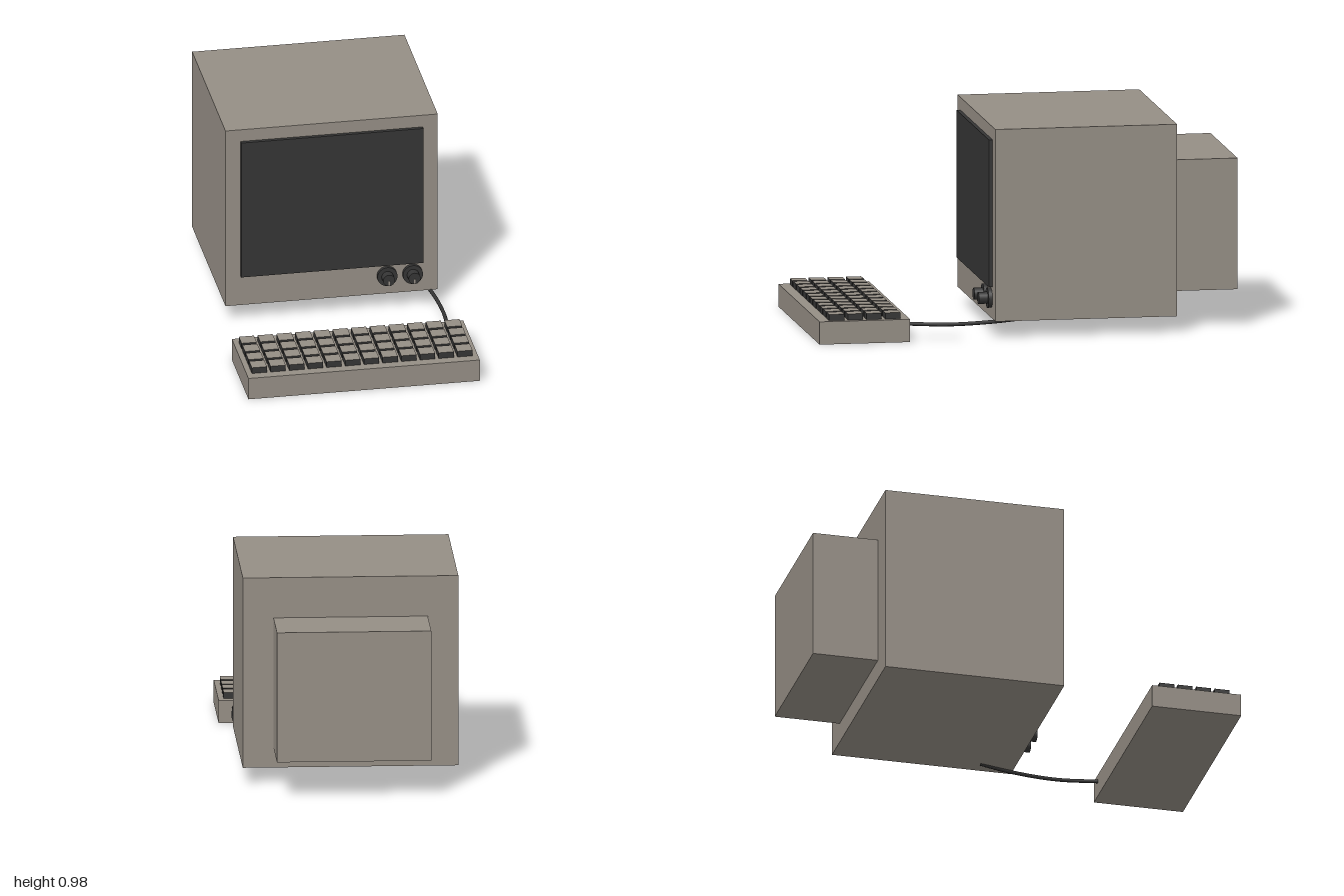
import * as THREE from 'three';

export function createModel() {
  const model = new THREE.Group();
  model.name = 'computerTerminal';

  const casing = new THREE.MeshStandardMaterial({ color: 0x958e85 });
  casing.name = 'warm grey casing';
  const dark = new THREE.MeshStandardMaterial({ color: 0x353535 });
  dark.name = 'dark grey';

  const add = (name, geometry, material, x, y, z, parent = model) => {
    const mesh = new THREE.Mesh(geometry, material);
    mesh.name = name;
    mesh.position.set(x, y, z);
    parent.add(mesh);
    return mesh;
  };
  // Box given by its lower and upper limits on each axis
  const box = (name, material, [x0, x1], [y0, y1], [z0, z1]) =>
    add(name, new THREE.BoxGeometry(x1 - x0, y1 - y0, z1 - z0), material,
      (x0 + x1) / 2, (y0 + y1) / 2, (z0 + z1) / 2);

  // Monitor
  box('monitorBody', casing, [-0.5, 0.5], [0.077, 0.979], [-0.69, 0.165]);
  box('tubeHousing', casing, [-0.358, 0.358], [0.172, 0.788], [-1, -0.69]);
  box('screen', dark, [-0.429, 0.429], [0.227, 0.919], [0.165, 0.183]);

  // Control knobs: base disc, faceted grip and pointer mark
  for (const x of [0.26, 0.38]) {
    const knob = new THREE.Group();
    knob.name = 'knob';
    knob.position.set(x, 0.17, 0.165);
    model.add(knob);
    const disc = new THREE.CylinderGeometry(0.047, 0.047, 0.018, 32).rotateX(Math.PI / 2);
    add('knobBase', disc, dark, 0, 0, 0.009, knob);
    const grip = new THREE.CylinderGeometry(0.028, 0.028, 0.042, 24).rotateX(Math.PI / 2);
    add('knobGrip', grip, dark, 0, 0, 0.039, knob);
    add('knobPointer', new THREE.BoxGeometry(0.007, 0.024, 0.002), casing, 0, -0.015, 0.0605, knob);
  }

  // Keyboard with dark-sided keys and pale key tops
  box('keyboardBase', casing, [-0.545, 0.545], [0, 0.107], [0.574, 1]);
  const keyGeometry = new THREE.BoxGeometry(0.071, 0.03, 0.071);
  const keyMaterials = [dark, dark, casing, dark, dark, dark];
  const keys = new THREE.Group();
  keys.name = 'keys';
  model.add(keys);
  for (let row = 0; row < 4; row++) {
    for (let col = 0; col < 12; col++) {
      add('key', keyGeometry, keyMaterials,
        -0.484 + col * 0.088, 0.121, 0.651 + row * 0.088, keys);
    }
  }

  // Cable from under the monitor to the back of the keyboard
  const path = new THREE.CatmullRomCurve3([
    new THREE.Vector3(0.43, 0.079, 0),
    new THREE.Vector3(0.468, 0.071, 0.17),
    new THREE.Vector3(0.485, 0.067, 0.38),
    new THREE.Vector3(0.472, 0.075, 0.59),
  ]);
  add('cable', new THREE.TubeGeometry(path, 24, 0.009, 8), dark, 0, 0, 0);

  return model;
}
